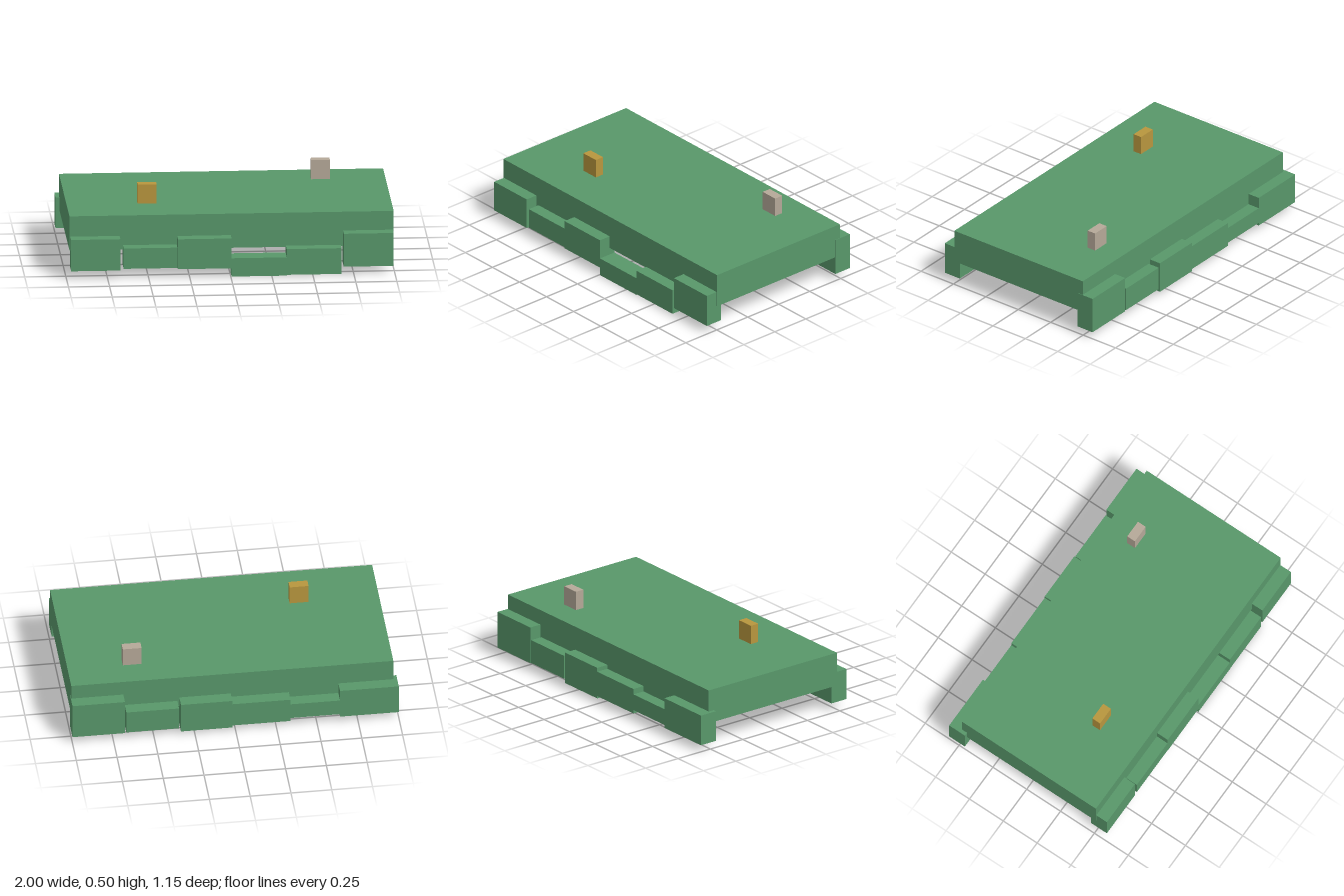
import * as THREE from 'three';

export function createModel() {
  const model = new THREE.Group();
  const green = new THREE.MeshStandardMaterial({ name: 'green', color: 0x58976a });
  const gold = new THREE.MeshStandardMaterial({ name: 'gold', color: 0xb8963e });
  const stone = new THREE.MeshStandardMaterial({ name: 'stone', color: 0xb5a898 });

  // Box given by its extents on each axis
  function block(name, material, [x0, x1], [y0, y1], [z0, z1], parent = model) {
    const mesh = new THREE.Mesh(new THREE.BoxGeometry(x1 - x0, y1 - y0, z1 - z0), material);
    mesh.position.set((x0 + x1) / 2, (y0 + y1) / 2, (z0 + z1) / 2);
    mesh.name = name;
    parent.add(mesh);
  }

  // Main slab
  block('deck', green, [-0.977, 0.997], [0.16, 0.375], [-0.495, 0.495]);

  // Uneven edge blocks: x start, x end, bottom, top
  const frontBlocks = [
    [-0.972, -0.672, 0.05, 0.247],
    [-0.652, -0.325, 0.06, 0.188],
    [-0.322, 0.005, 0.052, 0.24],
    [0.005, 0.341, 0, 0.115],
    [0.341, 0.675, 0.005, 0.167],
    [0.688, 0.992, 0.05, 0.257],
  ];
  const backBlocks = [
    [-1, -0.64, 0.043, 0.237],
    [-0.64, -0.336, 0.062, 0.165],
    [-0.336, 0.02, 0.04, 0.2],
    [0.02, 0.335, 0.025, 0.225],
    [0.347, 0.67, 0.05, 0.2],
    [0.678, 1, 0.046, 0.28],
  ];
  const rows = [
    ['front', frontBlocks, [0.457, 0.573]],
    ['back', backBlocks, [-0.573, -0.457]],
  ];
  for (const [side, blocks, depth] of rows) {
    const row = new THREE.Group();
    row.name = `${side}EdgeRow`;
    blocks.forEach(([x0, x1, y0, y1], i) =>
      block(`${side}EdgeBlock${i + 1}`, green, [x0, x1], [y0, y1], depth, row));
    model.add(row);
  }

  // Small markers standing on the deck
  block('goldMarker', gold, [-0.545, -0.429], [0.375, 0.495], [0.17, 0.227]);
  block('stoneMarker', stone, [0.544, 0.659], [0.375, 0.495], [-0.326, -0.269]);

  return model;
}
